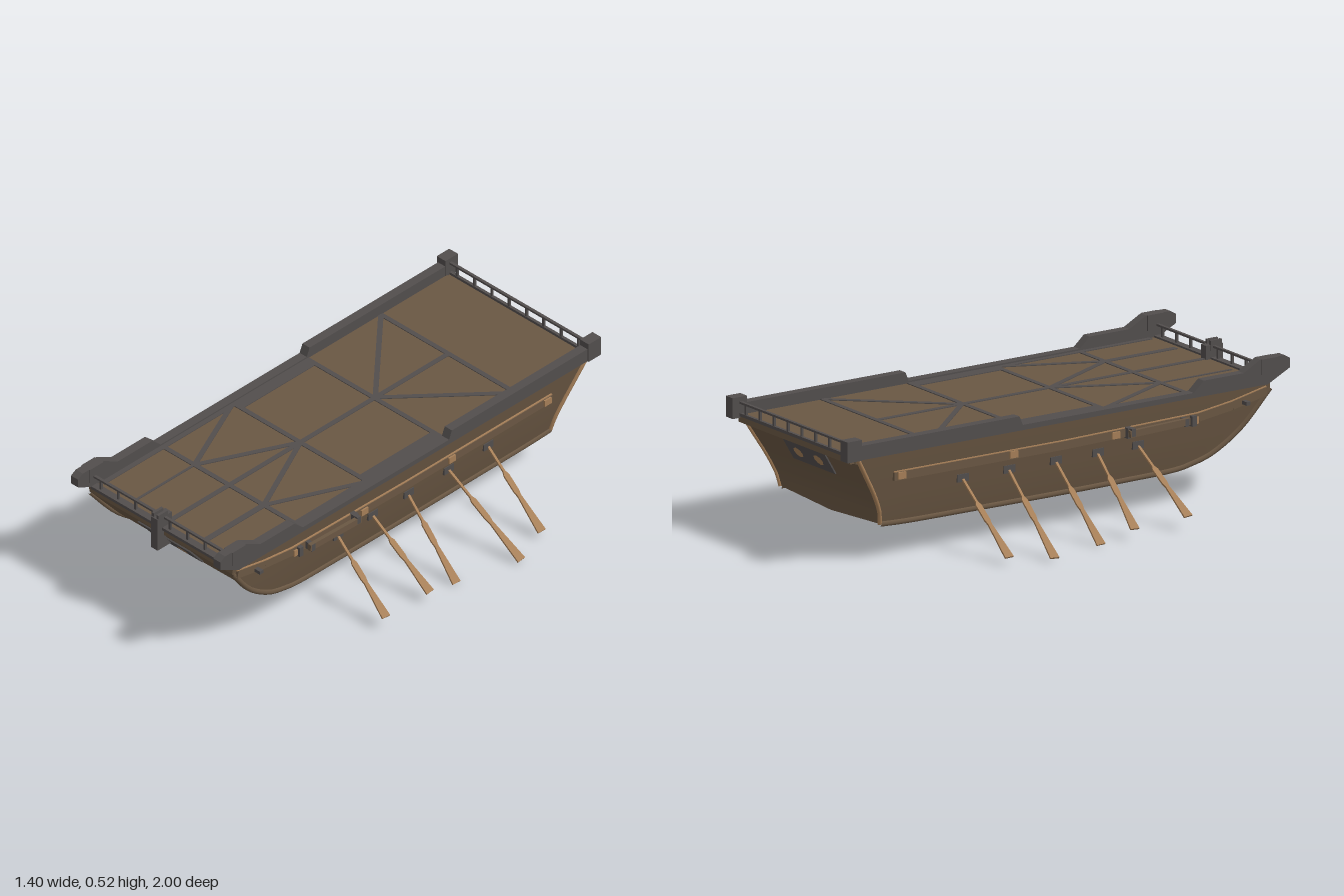
import * as THREE from 'three';
import { toCreasedNormals } from 'three/addons/utils/BufferGeometryUtils.js';

const mat = (name, color) => Object.assign(new THREE.MeshStandardMaterial({ color }), { name });
const V = (x, y, z) => new THREE.Vector3(x, y, z);

export function createModel() {
  const wood = mat('hull wood', 0x6a5743);
  const iron = mat('dark iron', 0x524e4d);
  const tan = mat('pale wood', 0xa67f58);
  const model = new THREE.Group();
  model.name = 'barge';

  const add = (name, geo, m, parent = model) => {
    const mesh = new THREE.Mesh(geo, m);
    mesh.name = name;
    parent.add(mesh);
    return mesh;
  };
  const box = (name, m, w, h, d, x, y, z, parent) => {
    const mesh = add(name, new THREE.BoxGeometry(w, h, d), m, parent);
    mesh.position.set(x, y, z);
    return mesh;
  };
  // Box running from a to b, with its width sideways and its height upward
  const beam = (name, m, a, b, w, h) => {
    const mesh = add(name, new THREE.BoxGeometry(w, h, a.distanceTo(b)), m);
    mesh.position.copy(a).lerp(b, 0.5);
    mesh.lookAt(b);
    return mesh;
  };

  // Hull: cross-sections from stern to bow, given as z, keel height, chine height
  const TOP = 0.425;
  const stations = [
    [-0.8, 0.12, 0.14], [-0.7, 0.098, 0.135], [-0.4, 0.082, 0.132], [0, 0.076, 0.13], [0.3, 0.078, 0.132],
    [0.54, 0.09, 0.138], [0.6, 0.112, 0.15], [0.68, 0.155, 0.175], [0.8, 0.255, 0.257], [0.92, 0.4, 0.4],
  ];
  const sideX = y => 0.318 + 0.057 * Math.pow(Math.max(0, (y - 0.13) / 0.3), 0.85);
  const sternCurve = [[0.12, -0.8], [0.2, -0.815], [0.27, -0.85], [0.43, -0.945]];
  const sternZ = y => {
    let i = 0;
    while (i < 2 && y > sternCurve[i + 1][0]) i++;
    const [y0, z0] = sternCurve[i], [y1, z1] = sternCurve[i + 1];
    return z0 + (z1 - z0) * (y - y0) / (y1 - y0);
  };
  const N = 6;
  const sections = stations.map(([z, keel, chine], i) => {
    const right = [];
    for (let j = 0; j <= N; j++) {
      const y = chine + (TOP - chine) * j / N;
      right.push(V(sideX(y), y, i === 0 ? sternZ(y) : z));
    }
    const left = right.map(p => V(-p.x, p.y, p.z)).reverse();
    return [...left, V(0, keel, z), ...right];
  });
  const tris = [];
  const quad = (a, b, c, d) => tris.push(a, b, c, b, d, c);
  const last = sections.length - 1;
  for (let i = 0; i < last; i++)
    for (let j = 0; j < 2 * N + 2; j++)
      quad(sections[i][j], sections[i][j + 1], sections[i + 1][j], sections[i + 1][j + 1]);
  // Closing faces at stern and bow
  const s = sections[0], f = sections[last], K = N + 1;
  for (let j = 1; j <= N; j++) {
    quad(s[K - j], s[K - j - 1], s[K + j], s[K + j + 1]);
    quad(f[K - j], f[K + j], f[K - j - 1], f[K + j + 1]);
  }
  tris.push(s[K], s[K - 1], s[K + 1], f[K], f[K + 1], f[K - 1]);
  const hullGeo = new THREE.BufferGeometry().setFromPoints(tris);
  add('hull', toCreasedNormals(hullGeo, 0.4), wood);

  // Deck and its flush iron straps
  box('deck', wood, 0.735, 0.03, 1.865, 0, 0.416, -0.012);
  const strap = (x0, z0, x1, z1, w = 0.02) =>
    beam('deckStrap', iron, V(x0, 0.43, z0), V(x1, 0.43, z1), w, 0.008);
  for (const z of [-0.595, -0.205, 0.185, 0.56]) strap(-0.35, z, 0.35, z);
  strap(0, -0.595, 0, 0.88);
  for (const k of [-1, 1]) {
    strap(0, -0.21, k * 0.35, -0.595);
    strap(k * 0.35, 0.185, k * 0.18, 0.56);
    strap(0, 0.185, k * 0.18, 0.56);
    strap(k * 0.18, 0.56, k * 0.18, 0.88, k > 0 ? 0.025 : 0.01);
    strap(k * 0.328, -0.205, k * 0.328, 0.185, 0.055);
    strap(k * 0.342, 0.185, k * 0.342, 0.88, 0.022);
  }

  // Bulwark silhouette in z and y, with bow horn and stern block
  const railShape = new THREE.Shape([
    [1, 0.505], [0.975, 0.52], [0.865, 0.52], [0.79, 0.48], [0.61, 0.48], [0.565, 0.44], [-0.205, 0.44],
    [-0.22, 0.475], [-0.935, 0.475], [-0.935, 0.5], [-1, 0.5], [-1, 0.435], [-0.975, 0.42], [0.9, 0.42],
    [0.96, 0.45], [1, 0.47],
  ].map(p => new THREE.Vector2(...p)));
  const railGeo = new THREE.ExtrudeGeometry(railShape, { depth: 0.037, bevelEnabled: false });
  railGeo.rotateY(-Math.PI / 2);

  // Oar tips (x, y, z) paired with pivot z
  const oars = [
    [0.34, 0.63, 0.052, 0.372], [0.16, 0.625, 0.04, 0.135], [-0.03, 0.617, 0.002, -0.012],
    [-0.24, 0.695, 0.01, -0.275], [-0.45, 0.638, 0.026, -0.44],
  ];
  const oarGeo = len => {
    const half = [[0, 0.005], [0.33, 0.005], [0.37, 0.012], [0.55, 0.012], [0.6, 0.008], [1, 0.019]];
    const pts = [...half, ...half.map(([u, w]) => [u, -w]).reverse()];
    const shape = new THREE.Shape(pts.map(([u, w]) => new THREE.Vector2(u * len, w)));
    const geo = new THREE.ExtrudeGeometry(shape, { depth: 0.007, bevelEnabled: false });
    return geo.translate(0, 0, -0.0035);
  };

  for (const k of [-1, 1]) {
    const rail = add('bulwark', railGeo, iron);
    rail.position.x = k > 0 ? 0.388 : -0.351;
    box('sternBlock', iron, 0.045, 0.08, 0.065, k * 0.372, 0.46, -0.967);
    box('bowBlock', iron, 0.045, 0.06, 0.07, k * 0.37, 0.49, 0.905);

    // Chine rail and corner trim at the stern
    const chine = sections.map(q => V(k * q[K + 1].x, q[K + 1].y, q[K + 1].z));
    add('chineTrim', new THREE.TubeGeometry(new THREE.CatmullRomCurve3(chine), 48, 0.011, 6), wood);
    const edge = s.slice(K + 1).map(p => V(k * p.x, p.y, p.z));
    add('sternTrim', new THREE.TubeGeometry(new THREE.CatmullRomCurve3(edge), 12, 0.009, 6), tan);

    // Rubbing strake following the side
    const strake = [[0.9, 0.392], [0.75, 0.358], [0.6, 0.336], [0, 0.325], [-0.77, 0.326]]
      .map(([z, y]) => V(k * (sideX(y) + 0.003), y, z));
    for (let i = 0; i < strake.length - 1; i++) {
      beam('strake', wood, strake[i], strake[i + 1], 0.018, 0.032);
      const lift = V(0, 0.017, 0);
      beam('strakeCap', tan, strake[i].clone().add(lift), strake[i + 1].clone().add(lift), 0.014, 0.005);
    }
    for (const z of [0.58, 0.225, -0.235, -0.74])
      box('strakeBlock', tan, 0.024, 0.026, 0.035, k * 0.365, 0.328, z);
    for (const z of [0.57, 0.28]) box('strakeClamp', iron, 0.03, 0.04, 0.02, k * 0.372, 0.33, z);
    beam('sideSpar', wood, V(k * 0.396, 0.338, 0.54), V(k * 0.396, 0.33, 0.27), 0.016, 0.026);
    for (const z of [0.525, 0.285]) box('sparBracket', iron, 0.05, 0.03, 0.018, k * 0.38, 0.335, z);
    box('bowPeg', iron, 0.05, 0.014, 0.018, k * 0.38, 0.365, 0.8);

    // Oars with their ports
    for (const [pz, tx, ty, tz] of oars) {
      box('oarPort', iron, 0.012, 0.03, 0.05, k * sideX(0.268), 0.268, pz);
      const a = V(k * 0.335, 0.275, pz), b = V(k * tx, ty, tz);
      const dir = b.clone().sub(a).normalize();
      const normal = dir.clone().cross(V(0, 0, 1)).normalize();
      const wide = normal.clone().cross(dir);
      const oar = add('oar', oarGeo(a.distanceTo(b)), tan);
      oar.quaternion.setFromRotationMatrix(new THREE.Matrix4().makeBasis(dir, wide, normal));
      oar.position.copy(a);
    }
  }

  // End railings
  for (const z of [0.915, -0.962]) {
    box('endSill', iron, 0.71, 0.012, z > 0 ? 0.03 : 0.012, 0, 0.432, z);
    box('endRail', iron, 0.71, 0.008, 0.012, 0, 0.478, z);
    for (let i = 0; i < 8; i++) box('railPost', iron, 0.009, 0.045, 0.009, -0.315 + i * 0.09, 0.455, z);
  }
  box('sternLedge', wood, 0.72, 0.025, 0.03, 0, 0.415, -0.95);

  // Bow stem post with a forked head
  box('stemPost', iron, 0.034, 0.14, 0.075, 0, 0.415, 0.917);
  for (const k of [-1, 1]) box('stemFork', iron, 0.011, 0.04, 0.05, k * 0.012, 0.482, 0.925);

  // Plates with round pale openings on bow and stern
  const plate = (name, y, z, turn, tilt, h) => {
    const g = new THREE.Group();
    g.name = name;
    g.rotation.set(tilt, turn, 0, 'YXZ');
    g.position.set(0, y, z);
    model.add(g);
    box('plate', iron, 0.27, h, 0.009, 0, 0, 0, g);
    for (const k of [-1, 1]) {
      const eye = add('plateOpening', new THREE.CircleGeometry(0.028, 8), tan, g);
      eye.position.set(k * 0.065, 0, 0.0065);
      eye.scale.y = 0.85;
    }
  };
  plate('bowPlate', 0.335, 0.868, 0, 0.69, 0.108);
  plate('sternPlate', 0.345, -0.896, Math.PI, 0.535, 0.1);
  return model;
}
